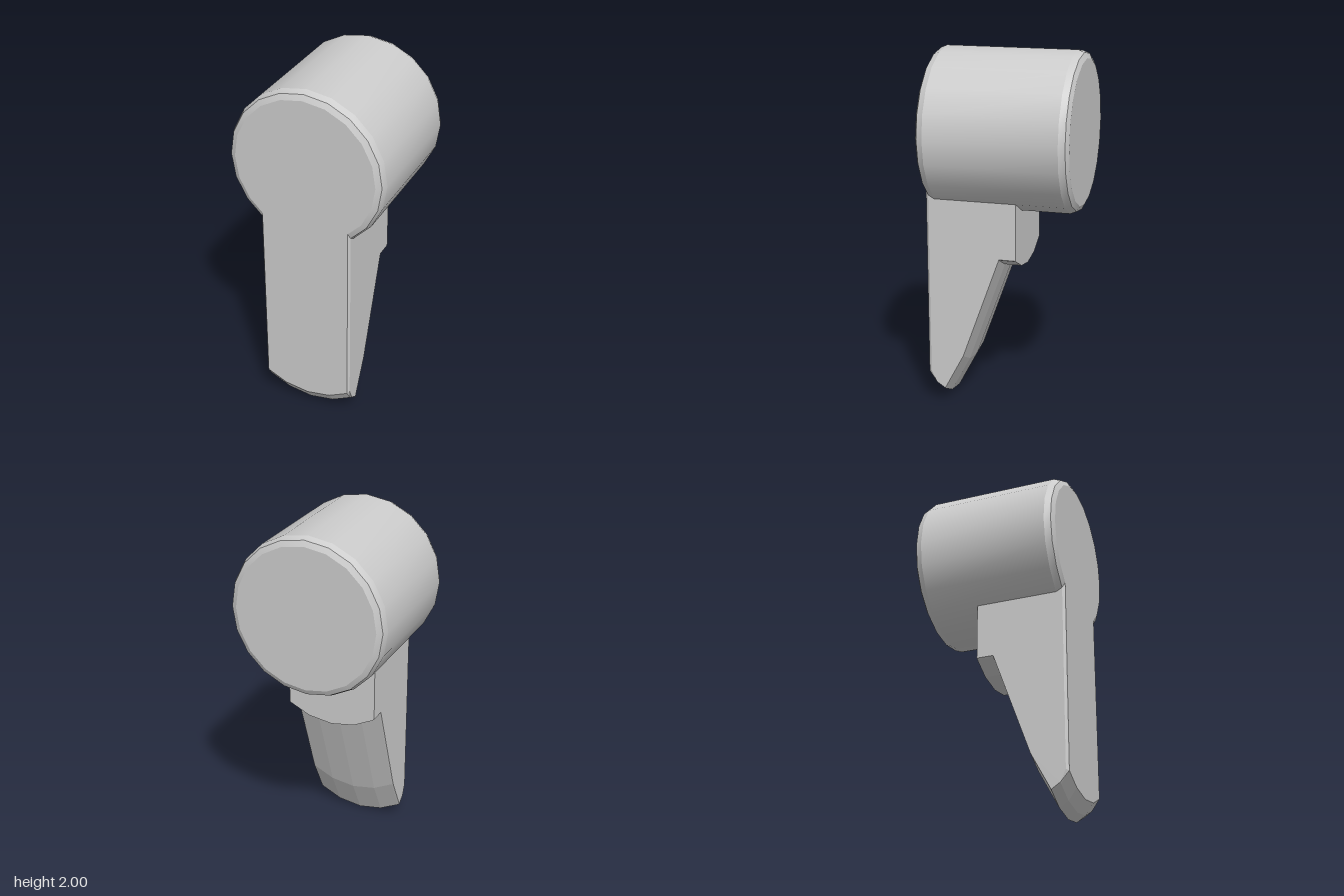
import * as THREE from 'three';
import { toCreasedNormals } from 'three/addons/utils/BufferGeometryUtils.js';

const RADIUS = 0.444;
const CENTER_Y = 1.556;

// Round barrel along z, with a two-step bevel at each end
function barrelGeometry() {
  const bevel = [[0, 0.415], [0.4, 0.415], [0.43, 0.4], [RADIUS, 0.365]];
  const profile = [
    ...bevel.map(([r, z]) => new THREE.Vector2(r, -z)),
    ...bevel.reverse().map(([r, z]) => new THREE.Vector2(r, z)),
  ];
  const geometry = new THREE.LatheGeometry(profile, 20).rotateX(Math.PI / 2);
  return toCreasedNormals(geometry, 0.35).translate(0, CENTER_Y, 0);
}

// Side profile swept across the width; its lower edge follows a shallow arc
function leverGeometry() {
  const top = 1.3;
  const profile = [
    [0.415, top], [0.415, 0.1], [0.37, 0.035], [0.32, 0.002], [0.21, 0.21],
    [0, 0.795], [-0.095, 0.795], [-0.095, top],
  ];
  const stations = [-0.26, -0.25, -0.138, 0, 0.138, 0.25, 0.26];
  const steps = stations.length - 1;
  const shape = new THREE.Shape(profile.map(([z, y]) => new THREE.Vector2(-z, y)));
  const geometry = new THREE.ExtrudeGeometry(shape, { depth: steps, steps, bevelEnabled: false });
  geometry.rotateY(Math.PI / 2);

  const p = geometry.attributes.position;
  for (let i = 0; i < p.count; i++) {
    const x = stations[Math.round(p.getX(i))];
    const rise = RADIUS - Math.sqrt(RADIUS * RADIUS - x * x);
    p.setX(i, x);
    if (p.getY(i) < top - 0.01) p.setY(i, p.getY(i) + rise);
    // Narrow chamfer down both front edges
    if (Math.abs(x) > 0.255) p.setZ(i, Math.min(p.getZ(i), 0.4));
  }
  geometry.computeVertexNormals();
  return geometry;
}

export function createModel() {
  const group = new THREE.Group();
  group.name = 'leverKnob';
  const material = new THREE.MeshStandardMaterial({ color: 0xcccccc });
  const parts = { barrel: barrelGeometry(), lever: leverGeometry() };
  for (const [name, geometry] of Object.entries(parts)) {
    const mesh = new THREE.Mesh(geometry, material);
    mesh.name = name;
    group.add(mesh);
  }
  return group;
}
